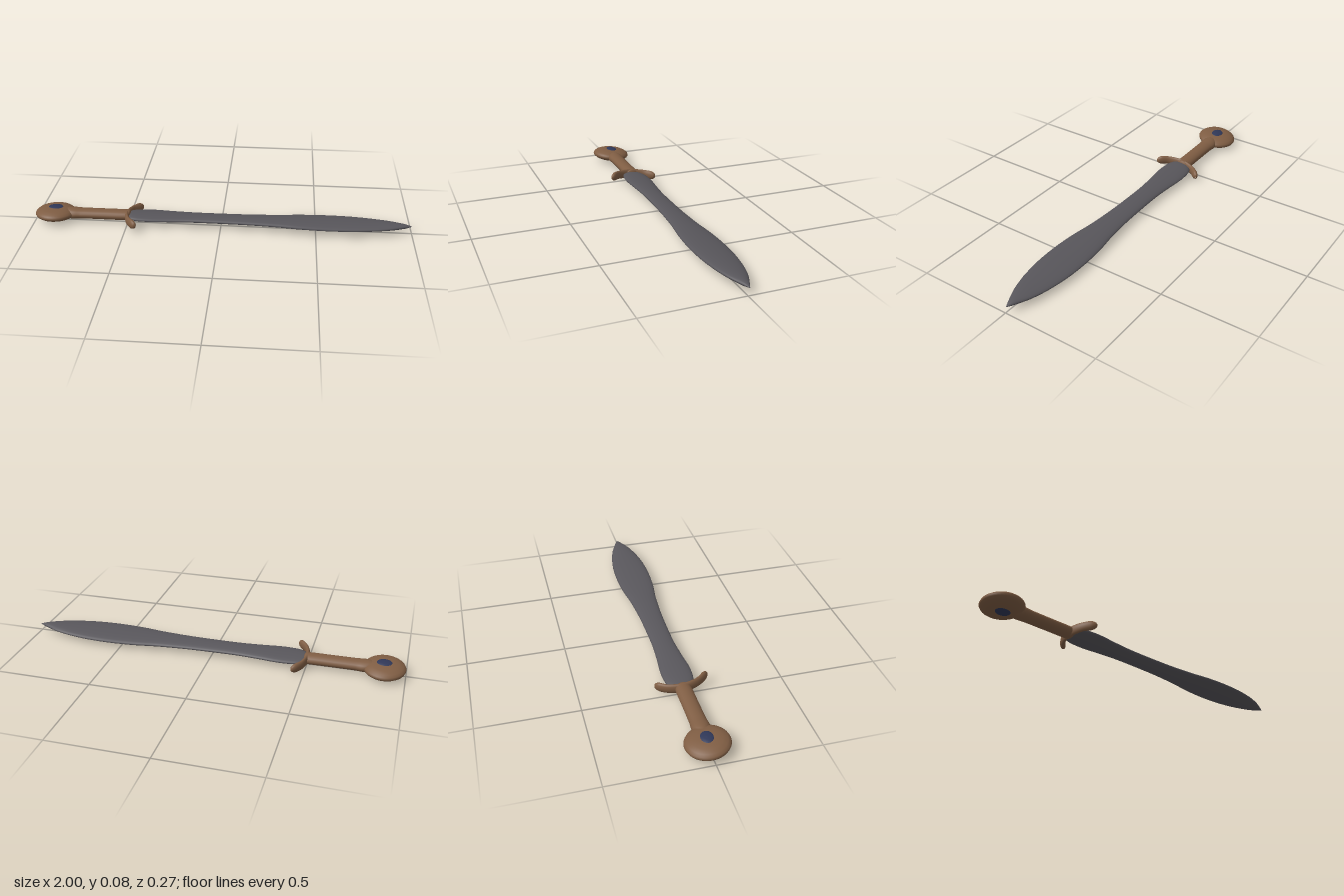
import * as THREE from 'three';

const wood = new THREE.MeshStandardMaterial({ color: 0x7f5d43 });
wood.name = 'brown wood';
const steel = new THREE.MeshStandardMaterial({ color: 0x58565b });
steel.name = 'dark steel';
const blue = new THREE.MeshStandardMaterial({ color: 0x2f3757 });
blue.name = 'blue stone';

// Skin of elliptical sections [x, z, halfWidth, halfHeight] along a path in the xz plane
function loft(sections, steps, sides) {
  const path = new THREE.CatmullRomCurve3(sections.map(([x, z]) => new THREE.Vector3(x, 0, z)));
  const size = new THREE.CatmullRomCurve3(sections.map(([, , w, h], i) => new THREE.Vector3(w, h, i * 0.02)));
  const pos = [], index = [];
  for (let i = 0; i <= steps; i++) {
    const p = path.getPoint(i / steps), t = path.getTangent(i / steps), s = size.getPoint(i / steps);
    const w = Math.max(s.x, 0.0005), h = Math.max(s.y, 0.0005);
    for (let j = 0; j < sides; j++) {
      const a = (j / sides) * Math.PI * 2, k = Math.sin(a) * w;
      pos.push(p.x - t.z * k, Math.cos(a) * h, p.z + t.x * k);
      if (i < steps) {
        const j2 = (j + 1) % sides, a0 = i * sides + j, a1 = i * sides + j2;
        index.push(a0, a1, a0 + sides, a1, a1 + sides, a0 + sides);
      }
    }
  }
  const geo = new THREE.BufferGeometry();
  geo.setAttribute('position', new THREE.Float32BufferAttribute(pos, 3));
  geo.setIndex(index);
  geo.computeVertexNormals();
  return geo;
}

function add(parent, name, geo, material) {
  const mesh = new THREE.Mesh(geo, material);
  mesh.name = name;
  parent.add(mesh);
  return mesh;
}

const lathe = (points, sides) =>
  new THREE.LatheGeometry(points.map(([r, y]) => new THREE.Vector2(r, y)), sides);

export function createModel() {
  const model = new THREE.Group();
  model.name = 'sword';
  const body = new THREE.Group();
  body.name = 'tiltedSword';
  body.rotation.x = -0.1;
  body.position.y = 0.039;
  model.add(body);
  const mid = -0.007;

  // Leaf-shaped blade: [x, half width, half thickness]
  const blade = [
    [-0.5, 0.03, 0.012], [-0.48, 0.056, 0.015], [-0.44, 0.07, 0.016], [-0.36, 0.074, 0.016],
    [-0.26, 0.065, 0.016], [-0.14, 0.057, 0.016], [0, 0.057, 0.016], [0.15, 0.061, 0.016],
    [0.3, 0.072, 0.017], [0.42, 0.088, 0.017], [0.55, 0.095, 0.017], [0.68, 0.091, 0.017],
    [0.8, 0.074, 0.016], [0.89, 0.05, 0.015], [0.96, 0.02, 0.011], [1, 0.001, 0.001],
  ];
  add(body, 'blade', loft(blade.map(([x, w, h]) => [x, mid, w, h]), 60, 20), steel);

  // Grip, flaring a little where it runs into the pommel
  const grip = [
    [-0.87, 0.001, 0.001], [-0.855, 0.018, 0.022], [-0.82, 0.038, 0.029], [-0.79, 0.044, 0.029],
    [-0.75, 0.041, 0.027], [-0.62, 0.04, 0.027], [-0.52, 0.04, 0.027], [-0.49, 0.036, 0.025],
    [-0.48, 0.001, 0.001],
  ];
  add(body, 'grip', loft(grip.map(([x, w, h]) => [x, mid, w, h]), 40, 20), wood);

  // Crescent guard with blunt, curled-forward ends
  const half = [
    [-0.436, 0.131, 0.001, 0.004], [-0.441, 0.127, 0.01, 0.015], [-0.456, 0.112, 0.014, 0.025],
    [-0.481, 0.08, 0.012, 0.025], [-0.496, 0.04, 0.012, 0.026],
  ];
  const guard = [
    ...half.map(([x, z, w, h]) => [x, -z, w, h]),
    [-0.502, 0, 0.013, 0.027],
    ...half.slice().reverse(),
  ];
  add(body, 'guard', loft(guard, 44, 14), wood);

  // Lens-shaped pommel disc
  const profile = [
    [0.0001, -0.033], [0.04, -0.0315], [0.07, -0.027], [0.092, -0.018], [0.103, -0.009], [0.107, 0],
    [0.103, 0.009], [0.092, 0.018], [0.07, 0.027], [0.04, 0.0315], [0.0001, 0.033],
  ];
  const pommel = add(body, 'pommel', lathe(profile, 40), wood);
  pommel.position.set(-0.893, 0, mid);

  // Oval stone set in both faces of the pommel
  for (const side of [1, -1]) {
    const stone = add(body, side > 0 ? 'upperStone' : 'lowerStone',
      lathe([[0.04, 0.03], [0.036, 0.034], [0.02, 0.0365], [0.0001, 0.0375]], 20), blue);
    stone.scale.z = 0.78;
    stone.position.set(-0.89, 0, mid);
    if (side < 0) stone.rotation.x = Math.PI;
  }
  return model;
}
